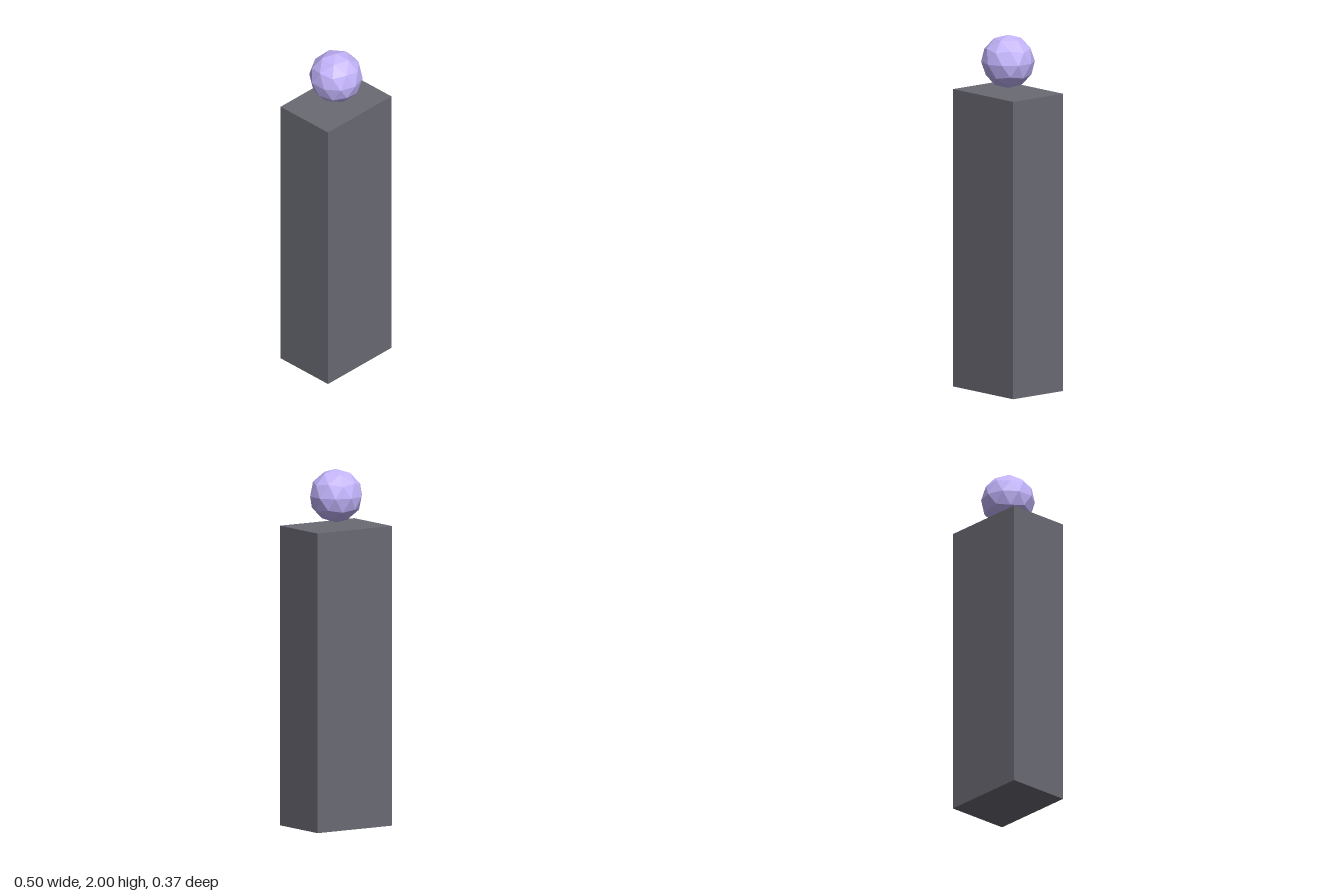
import * as THREE from 'three';

const PILLAR = { width: 0.504, height: 1.68, depth: 0.368 };
const ORB_RADIUS = 0.15;

function part(name, geometry, color, y) {
  const material = new THREE.MeshStandardMaterial({ color, flatShading: true });
  const mesh = new THREE.Mesh(geometry, material);
  mesh.name = name;
  mesh.position.y = y;
  return mesh;
}

export function createModel() {
  const model = new THREE.Group();
  model.name = 'pillarWithOrb';

  // Plain rectangular pillar standing on the ground
  const pillar = new THREE.BoxGeometry(PILLAR.width, PILLAR.height, PILLAR.depth);
  model.add(part('pillar', pillar, 0x6a6a74, PILLAR.height / 2));

  // Faceted orb floating just above, turned so a corner points straight up
  const orb = new THREE.IcosahedronGeometry(ORB_RADIUS, 1);
  const goldenRatio = (1 + Math.sqrt(5)) / 2;
  orb.rotateZ(-Math.atan(1 / goldenRatio));
  model.add(part('orb', orb, 0xc4b5fd, 2 - ORB_RADIUS));

  return model;
}
